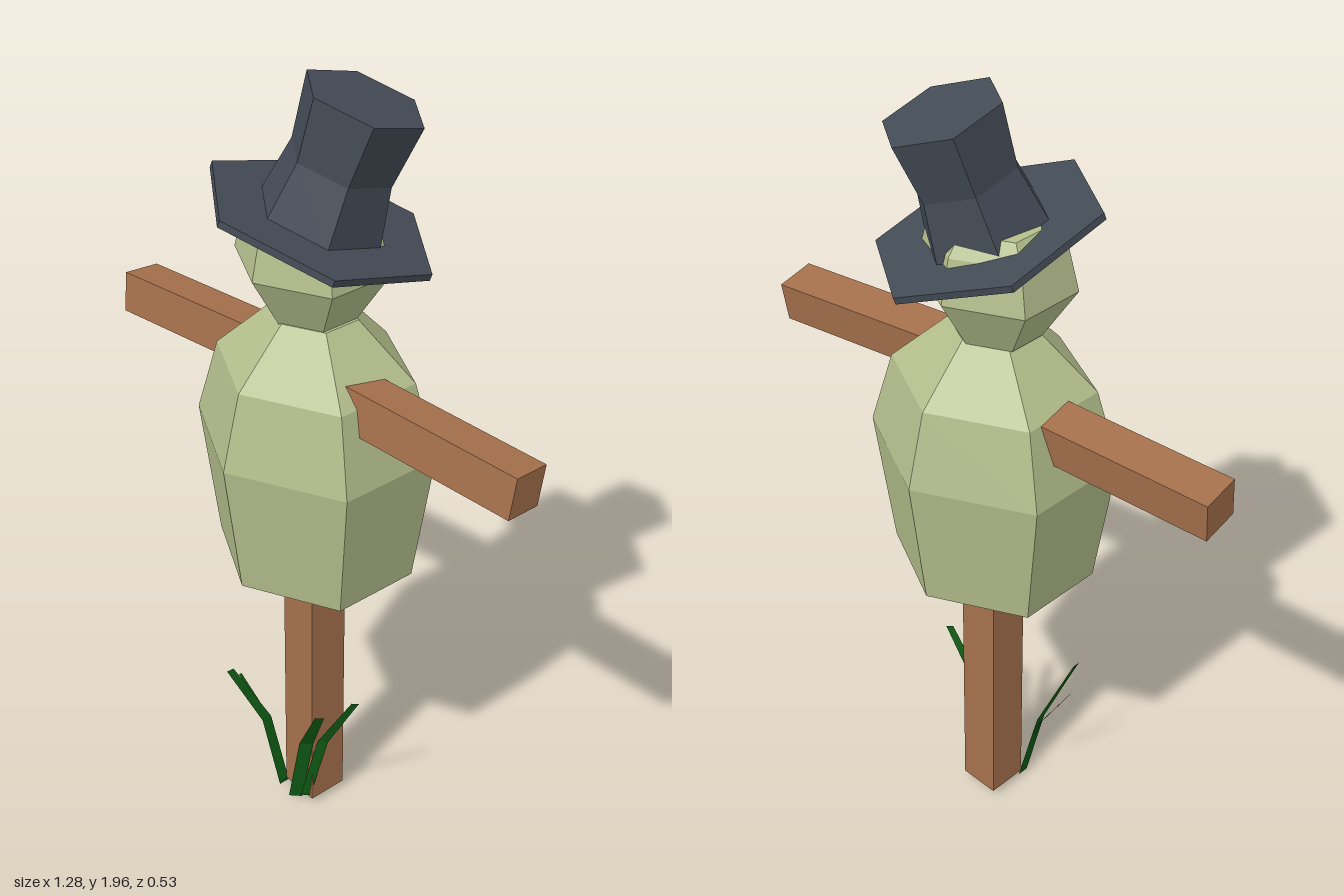
import * as THREE from 'three';

const mat = (color, side = THREE.FrontSide) =>
  new THREE.MeshStandardMaterial({ color, flatShading: true, side });

const sack = mat(0xb4be8c);
const wood = mat(0xa5704c);
const felt = mat(0x434b55);
const grass = mat(0x0f5a14, THREE.DoubleSide);

function add(parent, name, geometry, material) {
  const mesh = new THREE.Mesh(geometry, material);
  mesh.name = name;
  parent.add(mesh);
  return mesh;
}

// Six-sided solid of revolution with closed ends; rings are [radius, height]
function hexLathe(rings) {
  const pts = [[0, rings[0][1]], ...rings, [0, rings[rings.length - 1][1]]];
  return new THREE.LatheGeometry(pts.map(([r, y]) => new THREE.Vector2(r, y)), 6);
}

// Flat bent strip through the points, widened along one direction
function bladeGeometry(points, across, widths) {
  const pos = [], index = [];
  points.forEach((p, i) => {
    for (const s of [-0.5, 0.5]) pos.push(...p.map((v, k) => v + across[k] * widths[i] * s));
    if (i) {
      const a = 2 * i - 2;
      index.push(a, a + 1, a + 3, a, a + 3, a + 2);
    }
  });
  const g = new THREE.BufferGeometry();
  g.setAttribute('position', new THREE.Float32BufferAttribute(pos, 3));
  g.setIndex(index);
  g.computeVertexNormals();
  return g;
}

export function createModel() {
  const model = new THREE.Group();
  model.name = 'scarecrow';

  // Stuffed body and head, hexagonal and stretched to equal width and depth
  const body = add(model, 'body',
    hexLathe([[0.222, 0.77], [0.265, 1.105], [0.217, 1.29], [0.094, 1.42]]), sack);
  body.scale.x = 1.155;
  const head = add(model, 'head',
    hexLathe([[0.094, 1.415], [0.165, 1.54], [0.142, 1.645], [0.11, 1.69]]), sack);
  head.scale.x = 1.155;
  head.position.x = -0.01;

  // Post
  add(model, 'post', new THREE.BoxGeometry(0.105, 0.71, 0.105), wood).position.set(0, 0.375, 0);

  // Arms: separate beams, each turned and rolled a little
  const arms = [
    ['leftArm', [0.395, 1.263, -0.005], 0.115, -0.055],
    ['rightArm', [-0.395, 1.241, 0.001], 0.105, 0.027],
  ];
  for (const [name, at, yaw, pitch] of arms) {
    const arm = add(model, name, new THREE.BoxGeometry(0.48, 0.1, 0.1), wood);
    arm.position.set(...at);
    arm.rotation.set(-0.13, yaw, pitch, 'YZX');
  }

  // Top hat, tilted back and to its left
  const hat = new THREE.Group();
  hat.name = 'hat';
  hat.position.set(0.017, 1.645, 0);
  hat.quaternion.setFromUnitVectors(
    new THREE.Vector3(0, 1, 0), new THREE.Vector3(0.23, 1, -0.25).normalize());
  const brim = add(hat, 'hatBrim', hexLathe([[0.27, -0.008], [0.27, 0.008]]), felt);
  const crown = add(hat, 'hatCrown', hexLathe([[0.147, 0], [0.12, 0.14], [0.138, 0.288]]), felt);
  brim.rotation.y = crown.rotation.y = -0.07;
  model.add(hat);

  // Grass blades at the foot of the post
  const diagonal = [0.7, 0, -0.7];
  const sideways = [0, 0, 1];
  const blades = [
    [[[-0.052, 0.01, 0.06], [-0.09, 0.22, 0.085], [-0.14, 0.39, 0.16]], sideways, [0.03, 0.028, 0.02]],
    [[[-0.05, 0.02, 0.06], [-0.09, 0.2, 0.075], [-0.165, 0.335, 0.11]], sideways, [0.018, 0.016, 0.008]],
    [[[0, 0, 0.065], [0.05, 0.22, 0.07], [0.143, 0.388, 0.105]], diagonal, [0.035, 0.035, 0.022]],
    [[[0.035, 0.025, 0.06], [0.08, 0.23, 0.04], [0.178, 0.41, 0.02]], diagonal, [0.025, 0.027, 0.018]],
  ];
  blades.forEach(([points, across, widths], i) =>
    add(model, `grassBlade${i + 1}`, bladeGeometry(points, across, widths), grass));

  return model;
}
